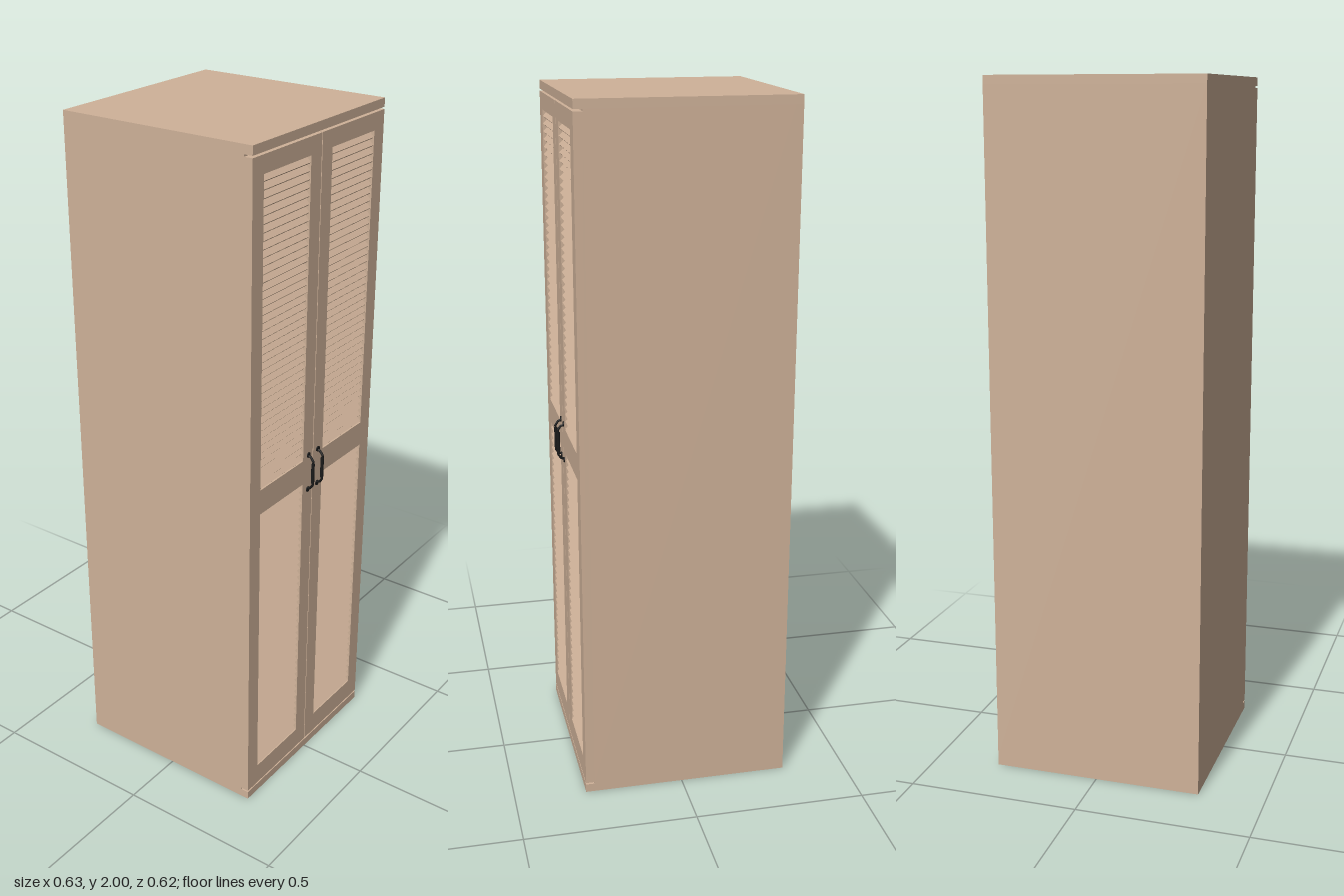
import * as THREE from 'three';
import { mergeGeometries } from 'three/addons/utils/BufferGeometryUtils.js';

const wood = new THREE.MeshStandardMaterial({ color: 0xcfb299 });
wood.name = 'wood';
const black = new THREE.MeshStandardMaterial({ color: 0x1a1a1a });
black.name = 'black metal';

// Overall extents: doors face +x
const BACK = -0.315, FRONT = 0.29, HALF = 0.308, DOOR = 0.025;
const BASE = 0.025, TOP = 1.975;
// Louvre openings in each door
const Z0 = 0.05, Z1 = 0.26;
const OPENINGS = [[0.095, 0.97], [1.045, 1.92]];

function box(parent, name, x0, x1, y0, y1, z0, z1) {
  const m = new THREE.Mesh(new THREE.BoxGeometry(x1 - x0, y1 - y0, z1 - z0), wood);
  m.position.set((x0 + x1) / 2, (y0 + y1) / 2, (z0 + z1) / 2);
  m.name = name;
  parent.add(m);
}

function rect(Type, a, b, c, d) {
  const p = new Type();
  p.moveTo(a, c);
  p.lineTo(b, c);
  p.lineTo(b, d);
  p.lineTo(a, d);
  p.closePath();
  return p;
}

// One bank of slats, sloping down towards the outside
function louvres(y0, y1, side) {
  const count = 40, pitch = (y1 - y0) / count, parts = [];
  for (let i = 0; i < count; i++) {
    const g = new THREE.BoxGeometry(0.026, 0.006, Z1 - Z0);
    g.rotateZ(-Math.PI / 4);
    g.translate(FRONT - DOOR / 2, y0 + (i + 0.5) * pitch, side * (Z0 + Z1) / 2);
    parts.push(g);
  }
  const m = new THREE.Mesh(mergeGeometries(parts), wood);
  m.name = 'louvres';
  return m;
}

// Thin bow handle with two foot plates
function handle(side) {
  const g = new THREE.Group();
  g.name = 'handle';
  const path = new THREE.CurvePath();
  const pts = [[0, 0.052], [0.009, 0.05], [0.018, 0.038], [0.018, -0.038], [0.009, -0.05], [0, -0.052]]
    .map(([x, y]) => new THREE.Vector3(x, y, 0));
  for (let i = 1; i < pts.length; i++) path.add(new THREE.LineCurve3(pts[i - 1], pts[i]));
  const bow = new THREE.Mesh(new THREE.TubeGeometry(path, 40, 0.0035, 8), black);
  bow.name = 'handleBow';
  g.add(bow);
  const grip = new THREE.Mesh(new THREE.CylinderGeometry(0.005, 0.005, 0.06, 10), black);
  grip.name = 'handleGrip';
  grip.position.x = 0.017;
  g.add(grip);
  for (const s of [1, -1]) {
    const foot = new THREE.Mesh(new THREE.CylinderGeometry(0.008, 0.008, 0.004, 12), black);
    foot.name = 'handleFoot';
    foot.rotation.z = Math.PI / 2;
    foot.position.set(0.001, s * 0.055, 0);
    g.add(foot);
  }
  g.position.set(FRONT, 1, side * 0.024);
  return g;
}

function door(side) {
  const g = new THREE.Group();
  g.name = side > 0 ? 'frontSideDoor' : 'rearSideDoor';
  const sorted = (a, b) => [a * side, b * side].sort((p, q) => p - q);
  const shape = rect(THREE.Shape, ...sorted(0.0015, HALF), 0.03, 1.969);
  for (const [y0, y1] of OPENINGS) {
    shape.holes.push(rect(THREE.Path, ...sorted(Z0, Z1), y0, y1));
    g.add(louvres(y0, y1, side));
  }
  const geo = new THREE.ExtrudeGeometry(shape, { depth: DOOR, bevelEnabled: false });
  // Turn the outline so its width runs along z and its depth along x
  geo.rotateY(-Math.PI / 2);
  geo.translate(FRONT, 0, 0);
  const frame = new THREE.Mesh(geo, wood);
  frame.name = 'doorFrame';
  g.add(frame, handle(side));
  return g;
}

export function createModel() {
  const model = new THREE.Group();
  model.name = 'wardrobe';
  const inner = FRONT - DOOR, t = 0.02;

  // Hollow carcass
  box(model, 'basePanel', BACK, FRONT, 0, BASE, -HALF, HALF);
  box(model, 'topPanel', BACK, FRONT, TOP, 2, -HALF, HALF);
  box(model, 'backPanel', BACK, BACK + t, BASE, TOP, -HALF, HALF);
  for (const s of [1, -1]) {
    const c = s * (HALF - t / 2);
    box(model, 'sidePanel', BACK + t, inner, BASE, TOP, c - t / 2, c + t / 2);
    model.add(door(s));
  }
  return model;
}
